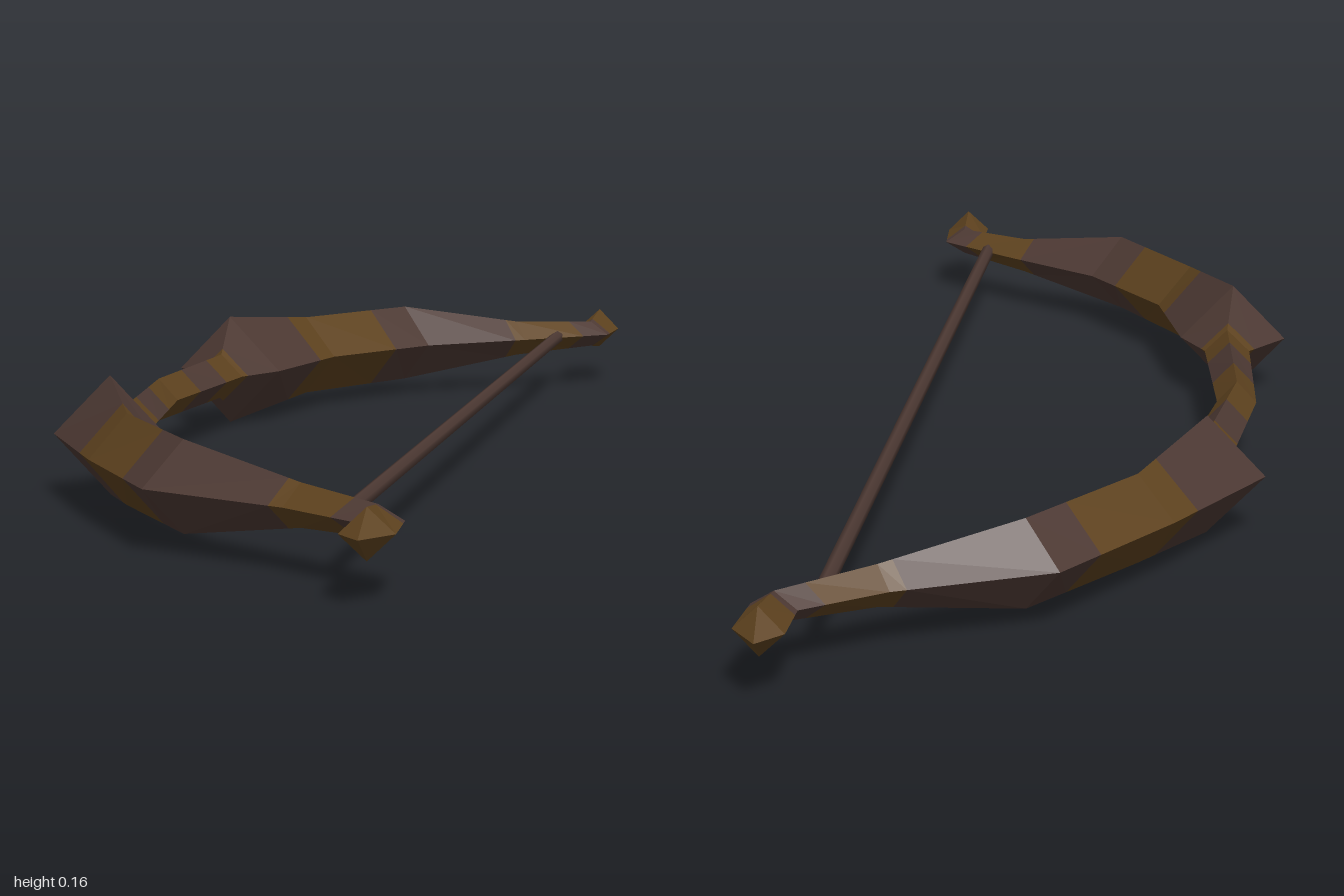
import * as THREE from 'three';

const MID_Y = 0.08;

// Diamond cross-sections from grip centre to tip:
// outer ridge x, z, inner ridge x, z, half height
const SECTIONS = [
  [-0.265, 0.0, -0.21, 0.0, 0.03],
  [-0.243, 0.26, -0.178, 0.255, 0.032],
  [-0.292, 0.333, -0.138, 0.325, 0.08],
  [-0.187, 0.53, -0.092, 0.505, 0.059],
  [-0.063, 0.728, 0.026, 0.67, 0.058],
  [0.13, 0.815, 0.165, 0.772, 0.027],
  [0.227, 0.887, 0.286, 0.868, 0.02],
  [0.228, 0.965, 0.292, 0.953, 0.031],
  [0.258, 1.0, 0.258, 1.0, 0.0],
];

// Colour bands along the limb: end position (in section steps), is golden
const BANDS = [
  ['gripWrap', 0.35, true],
  ['grip', 0.75, false],
  ['gripEnd', 1.15, true],
  ['flare', 2.75, false],
  ['limbBand', 3.65, true],
  ['outerLimb', 4.9, false],
  ['limbNeck', 5.7, true],
  ['tipBase', 6.2, false],
  ['tip', 8, true],
];

// Interpolated section at position t, as four corners of a diamond
function ring(t, side) {
  const i = Math.min(Math.floor(t), SECTIONS.length - 2);
  const [ox, oz, ix, iz, h] = SECTIONS[i].map((v, k) => THREE.MathUtils.lerp(v, SECTIONS[i + 1][k], t - i));
  const mx = (ox + ix) / 2, mz = (oz + iz) / 2;
  return [
    [ox, MID_Y, oz * side],
    [mx, MID_Y + h, mz * side],
    [ix, MID_Y, iz * side],
    [mx, MID_Y - h, mz * side],
  ];
}

// Faceted skin between two positions on one limb
function limbGeometry(from, to, side) {
  const stops = [from];
  for (let i = Math.floor(from) + 1; i < to; i++) stops.push(i);
  stops.push(to);
  const rings = stops.map((t) => ring(t, side));
  const points = [];
  for (let r = 0; r < rings.length - 1; r++) {
    for (let k = 0; k < 4; k++) {
      const n = (k + 1) % 4;
      const a = rings[r][k], b = rings[r][n], c = rings[r + 1][n], d = rings[r + 1][k];
      const tris = side > 0 ? [a, d, c, a, c, b] : [a, c, d, a, b, c];
      points.push(...tris.flat());
    }
  }
  const geometry = new THREE.BufferGeometry();
  geometry.setAttribute('position', new THREE.Float32BufferAttribute(points, 3));
  geometry.computeVertexNormals();
  return geometry;
}

export function createModel() {
  const darkWood = new THREE.MeshStandardMaterial({ color: 0x4e3a34 });
  darkWood.name = 'darkWood';
  const goldenWood = new THREE.MeshStandardMaterial({ color: 0x5f431f });
  goldenWood.name = 'goldenWood';

  const model = new THREE.Group();
  model.name = 'bow';

  // Two mirrored limbs
  for (const side of [1, -1]) {
    const limb = new THREE.Group();
    limb.name = side > 0 ? 'frontLimb' : 'backLimb';
    let from = 0;
    for (const [name, to, golden] of BANDS) {
      const mesh = new THREE.Mesh(limbGeometry(from, to, side), golden ? goldenWood : darkWood);
      mesh.name = name;
      limb.add(mesh);
      from = to;
    }
    model.add(limb);
  }

  // Straight string between the limb necks
  const stringGeometry = new THREE.CylinderGeometry(0.01, 0.01, 1.66, 6);
  stringGeometry.rotateX(Math.PI / 2);
  const string = new THREE.Mesh(stringGeometry, darkWood);
  string.name = 'bowString';
  string.position.set(0.21, MID_Y, 0);
  model.add(string);

  return model;
}
